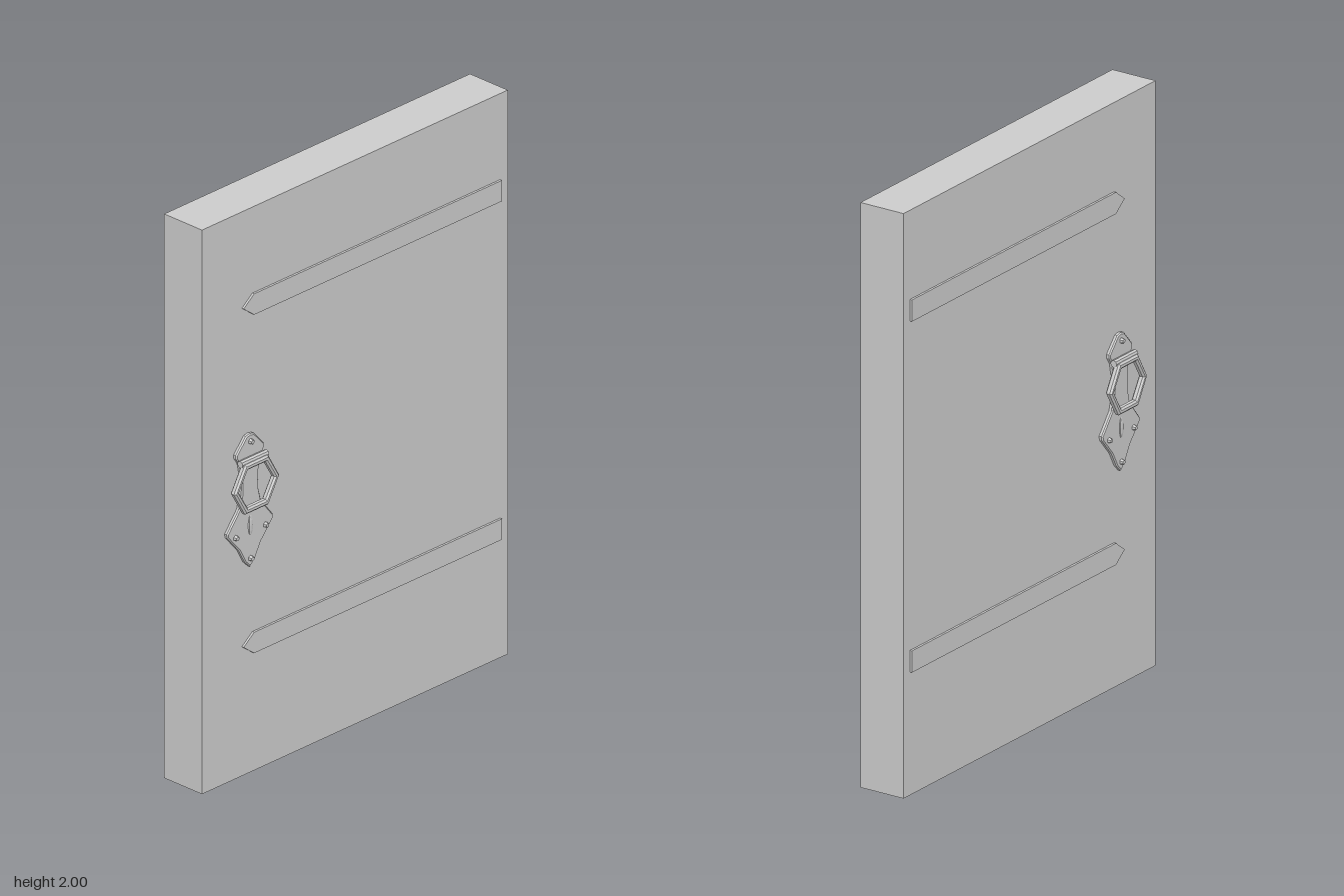
import * as THREE from 'three';

const grey = new THREE.MeshStandardMaterial({ color: 0xcccccc, flatShading: true });

function part(name, geometry, x = 0, y = 0, z = 0) {
  const mesh = new THREE.Mesh(geometry, grey);
  mesh.name = name;
  mesh.position.set(x, y, z);
  return mesh;
}

const outline = (points) => points.map(([x, y]) => new THREE.Vector2(x, y));

// Mirror a right-hand outline (top to bottom, tips on the axis) to the other side
function symmetric(half) {
  const other = half.slice(1, -1).reverse().map(([x, y]) => [-x, y]);
  return new THREE.Shape(outline([...half, ...other]));
}

// Extrusion sitting on z = 0 with a chamfered front rim
function plate(shape, depth, bevel) {
  return new THREE.ExtrudeGeometry(shape, {
    depth: depth - bevel, bevelEnabled: bevel > 0, bevelThickness: bevel,
    bevelSize: bevel, bevelOffset: -bevel, bevelSegments: 1, curveSegments: 6,
  });
}

// Flat-topped hexagon
const hexagon = (w, h) => outline([
  [w, 0], [w * 0.51, h], [-w * 0.51, h], [-w, 0], [-w * 0.51, -h], [w * 0.51, -h],
]);

// Pointed hinge strap
function strap(y) {
  const shape = new THREE.Shape(outline([
    [0.663, -0.037], [0.663, 0.037], [-0.468, 0.037], [-0.516, 0], [-0.468, -0.037],
  ]));
  return part('hingeStrap', plate(shape, 0.008, 0), 0, y, 0);
}

// Back plate, rivets, ring and its mount, centred on x = 0, resting on z = 0
function createHandle() {
  const handle = new THREE.Group();
  handle.name = 'handle';

  const backPlate = symmetric([
    [0, 1.208], [0.018, 1.204], [0.064, 1.152], [0.064, 1.14], [0.048, 1.115],
    [0.039, 1.07], [0.037, 1.037], [0.039, 1.0], [0.05, 0.955], [0.105, 0.886],
    [0.103, 0.872], [0.05, 0.81], [0.022, 0.758], [0, 0.736],
  ].reverse());
  handle.add(part('backPlate', plate(backPlate, 0.013, 0.004)));

  // Rivets
  for (const [x, y] of [[0, 1.182], [-0.068, 0.863], [0.068, 0.863], [0, 0.768]]) {
    const rivet = new THREE.CylinderGeometry(0.007, 0.011, 0.014, 6);
    rivet.rotateX(Math.PI / 2);
    handle.add(part('rivet', rivet, x, y, 0.017));
  }

  // Shallow raised boss on the lower plate
  const boss = new THREE.SphereGeometry(1, 8, 6);
  boss.scale(0.012, 0.036, 0.006);
  handle.add(part('boss', boss, 0, 0.885, 0.012));

  // Hexagonal pull ring
  const ring = new THREE.Shape(hexagon(0.103, 0.088));
  ring.holes.push(new THREE.Path(hexagon(0.081, 0.067).reverse()));
  const ringGeometry = new THREE.ExtrudeGeometry(ring, {
    depth: 0.012, bevelThickness: 0.006, bevelSize: 0.006, bevelOffset: -0.006, bevelSegments: 1,
  });
  handle.add(part('pullRing', ringGeometry, 0, 1.037, 0.027));

  // Hinge pin and block holding the top of the ring
  const pin = new THREE.CylinderGeometry(0.012, 0.012, 0.12, 8);
  pin.rotateZ(Math.PI / 2);
  handle.add(part('ringPin', pin, 0, 1.124, 0.025));
  handle.add(part('ringMount', new THREE.BoxGeometry(0.09, 0.018, 0.024), 0, 1.122, 0.02));
  return handle;
}

export function createModel() {
  const door = new THREE.Group();
  door.name = 'door';
  const middle = -0.0025, half = 0.0835;
  door.add(part('slab', new THREE.BoxGeometry(1.396, 2, half * 2), 0, 1, middle));

  // Same fittings on both faces
  for (const side of [1, -1]) {
    const face = new THREE.Group();
    face.name = side > 0 ? 'frontFittings' : 'backFittings';
    face.position.z = middle + side * half;

    for (const y of [0.458, 1.658]) {
      const hinge = strap(y);
      if (side < 0) hinge.position.z = -0.008;
      face.add(hinge);
    }

    const handle = createHandle();
    handle.position.x = -0.49;
    if (side < 0) handle.rotation.y = Math.PI;
    face.add(handle);
    door.add(face);
  }
  return door;
}
